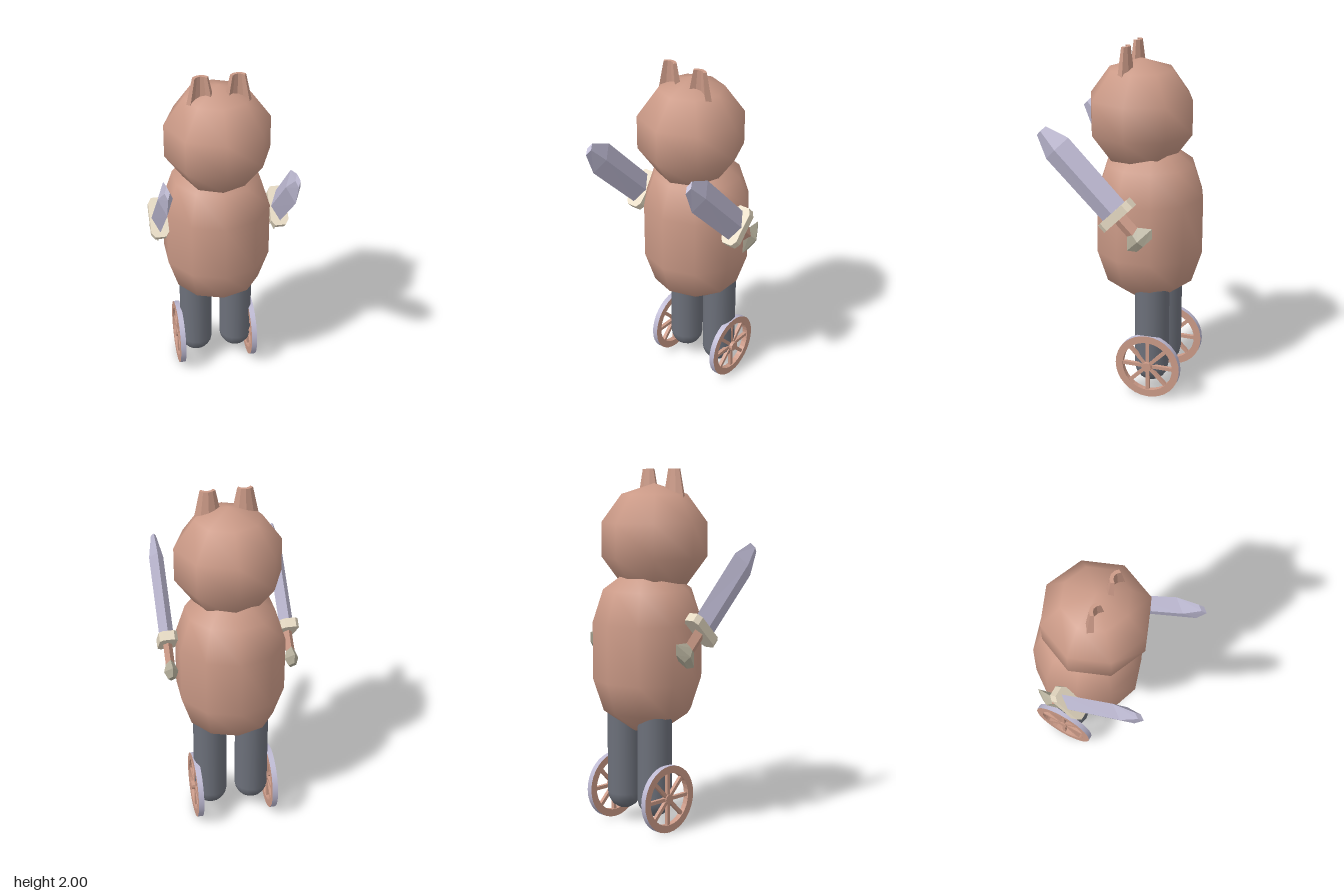
import * as THREE from 'three';

const mat = (color, extra = {}) => new THREE.MeshStandardMaterial({ color, ...extra });
const flat = (color) => mat(color, { flatShading: true });
const SKIN = 0xcb9a87, STEEL = 0xbdb9d2, CREAM = 0xe6dac3, STONE = 0xb8b29e, CLOTH = 0x6c707a;

function part(parent, name, geometry, material, x = 0, y = 0, z = 0) {
  const mesh = new THREE.Mesh(geometry, material);
  mesh.name = name;
  mesh.position.set(x, y, z);
  parent.add(mesh);
  return mesh;
}

// Diamond-section loft along y; each section is [y, half thickness in x, half width in z]
function diamondLoft(sections) {
  const geo = new THREE.CylinderGeometry(1, 1, 1, 4, sections.length - 1);
  const p = geo.attributes.position;
  for (let i = 0; i < p.count; i++) {
    const k = Math.round((p.getY(i) + 0.5) * (sections.length - 1));
    const [y, a, b] = sections[k];
    p.setXYZ(i, p.getX(i) * a, y, p.getZ(i) * b);
  }
  geo.computeVertexNormals();
  return geo;
}

function makeSword() {
  const g = new THREE.Group();
  part(g, 'blade', diamondLoft([[0, 0.04, 0.088], [0.48, 0.04, 0.0925], [0.608, 0.014, 0.037]]), flat(STEEL));
  part(g, 'grip', diamondLoft([[-0.15, 0.025, 0.042], [0, 0.025, 0.042]]), flat(SKIN));
  part(g, 'pommel', diamondLoft([[-0.22, 0.022, 0.06], [-0.18, 0.04, 0.1], [-0.123, 0.02, 0.042]]), flat(STONE));

  // Chamfered cross guard
  const s = new THREE.Shape([[-0.05, -0.085], [-0.03, -0.114], [0.03, -0.114], [0.05, -0.085],
    [0.05, 0.085], [0.03, 0.114], [-0.03, 0.114], [-0.05, 0.085]].map(([x, y]) => new THREE.Vector2(x, y)));
  const guard = new THREE.ExtrudeGeometry(s, { depth: 0.052, bevelEnabled: false });
  guard.rotateX(-Math.PI / 2).translate(0, -0.026, 0);
  part(g, 'guard', guard, flat(CREAM));
  return g;
}

// Wheel with its axle along x
function makeWheel() {
  const g = new THREE.Group();
  const R = 0.19, r = 0.148, h = 0.016;
  const wood = flat(SKIN);
  const profile = [[R, -h], [r, -h], [r, h], [R, h]].map(([x, y]) => new THREE.Vector2(x, y));
  const rim = new THREE.LatheGeometry(profile, 32).rotateZ(Math.PI / 2);
  part(g, 'rim', rim, flat(SKIN)).material.side = THREE.DoubleSide;
  const tyre = new THREE.CylinderGeometry(R, R, 2 * h, 32, 1, true).rotateZ(Math.PI / 2);
  part(g, 'tyre', tyre, mat(STEEL, { side: THREE.DoubleSide }));
  for (let i = 0; i < 8; i++) {
    const spoke = new THREE.BoxGeometry(0.02, 0.135, 0.02).translate(0, 0.0855, 0);
    part(g, 'spoke', spoke, wood).rotation.x = (i * Math.PI) / 4;
  }
  part(g, 'hub', new THREE.CylinderGeometry(0.028, 0.028, 0.046, 12).rotateZ(Math.PI / 2), wood, 0.007);
  return g;
}

// Half-pipe ear, open to the front and tapering upwards
function makeEar() {
  const pts = [[-0.085, 0.005], [-0.05, 0.036], [0, 0.05], [0.05, 0.036], [0.085, 0.005],
    [0.066, -0.03], [0.035, 0], [0, 0.012], [-0.035, 0], [-0.066, -0.03]];
  const shape = new THREE.Shape(pts.map(([x, y]) => new THREE.Vector2(x, y)));
  const geo = new THREE.ExtrudeGeometry(shape, { depth: 0.2, bevelEnabled: false });
  geo.rotateX(-Math.PI / 2);
  const p = geo.attributes.position;
  for (let i = 0; i < p.count; i++) {
    const k = 1 - 2.5 * p.getY(i);
    p.setX(i, p.getX(i) * k);
    p.setZ(i, p.getZ(i) * k);
  }
  geo.computeVertexNormals();
  return geo;
}

export function createModel() {
  const model = new THREE.Group();
  model.name = 'armedCreature';

  part(model, 'head', new THREE.SphereGeometry(0.31, 8, 5), mat(SKIN), 0, 1.612, -0.053);

  // Ten-sided capsule with blunt ends
  const outline = [[0, 0.547], [0.095, 0.547], [0.249, 0.657], [0.308, 0.838],
    [0.308, 1.16], [0.249, 1.341], [0.095, 1.453], [0, 1.453]].map(([x, y]) => new THREE.Vector2(x, y));
  part(model, 'body', new THREE.LatheGeometry(outline, 10), mat(SKIN), 0, 0, -0.108);

  for (const side of [-1, 1]) {
    const label = side > 0 ? 'left' : 'right';
    part(model, label + 'Ear', makeEar(), flat(SKIN), side * 0.1, 1.8, 0);

    const leg = new THREE.CapsuleGeometry(0.097, 0.48, 4, 16);
    part(model, label + 'Leg', leg, mat(CLOTH), side * 0.122 + 0.007, 0.407, -0.167);

    const wheel = makeWheel();
    wheel.name = label + 'Wheel';
    wheel.position.set(side > 0 ? 0.216 : -0.221, 0.19, -0.172);
    model.add(wheel);

    const sword = makeSword();
    sword.name = label + 'Sword';
    sword.position.set(side * 0.341, 1.132, -0.034);
    sword.rotation.x = Math.PI / 4;
    model.add(sword);
  }
  return model;
}
